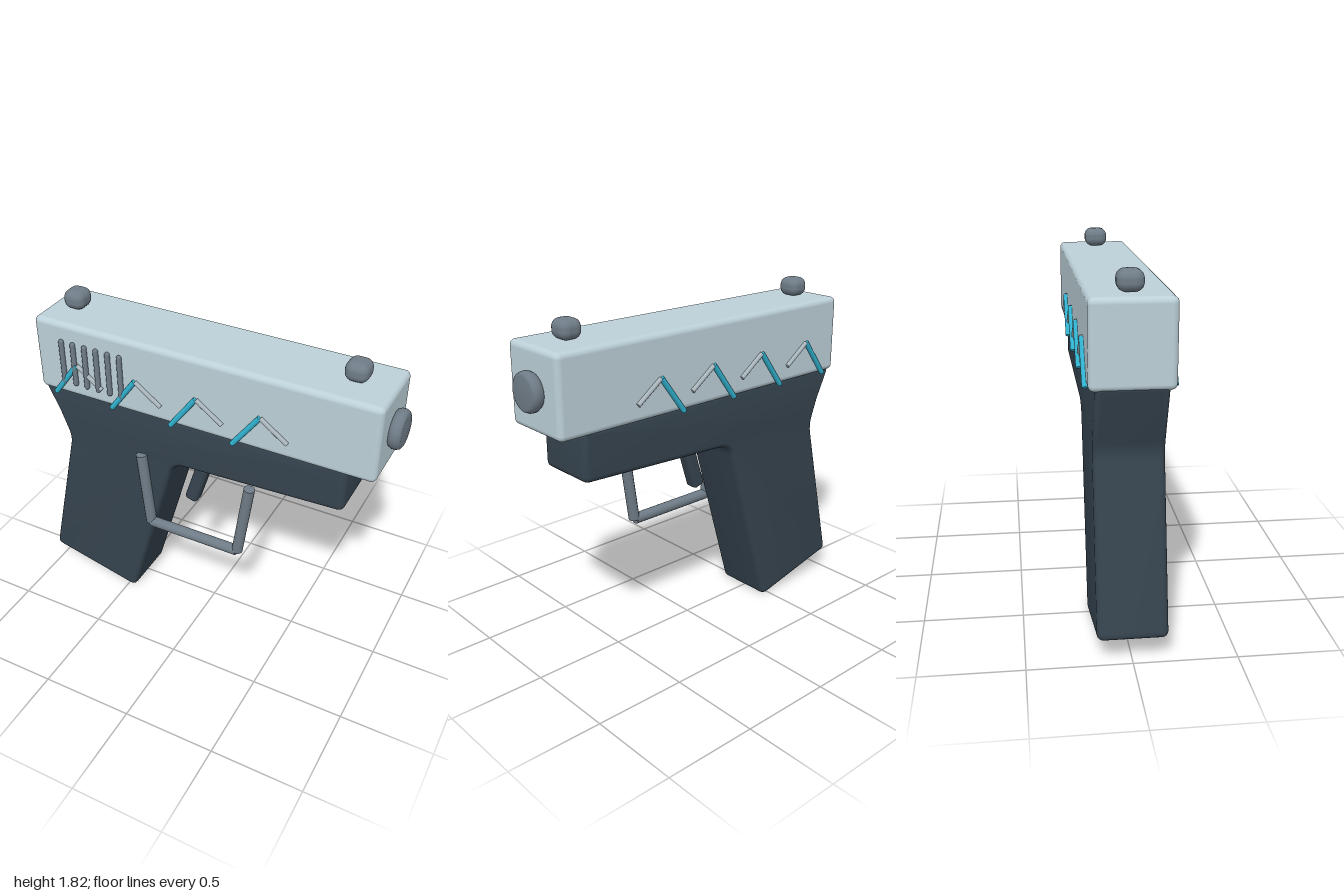
import * as THREE from 'three';
import { toCreasedNormals } from 'three/addons/utils/BufferGeometryUtils.js';
import { RoundedBoxGeometry } from 'three/addons/geometries/RoundedBoxGeometry.js';

const mat = (color) => new THREE.MeshStandardMaterial({ color });
const V = (x, y, z) => new THREE.Vector3(x, y, z);

// Closed shape with each corner [x, y, cut] softened by a curve
function roundedPolygon(points) {
  const shape = new THREE.Shape();
  const n = points.length;
  points.forEach(([x, y, cut], i) => {
    const corner = new THREE.Vector2(x, y);
    const toward = (p) => new THREE.Vector2(p[0], p[1]).sub(corner).setLength(cut).add(corner);
    const a = toward(points[(i + n - 1) % n]);
    const b = toward(points[(i + 1) % n]);
    if (i === 0) shape.moveTo(a.x, a.y);
    else shape.lineTo(a.x, a.y);
    shape.quadraticCurveTo(x, y, b.x, b.y);
  });
  shape.closePath();
  return shape;
}

export function createModel() {
  const model = new THREE.Group();
  model.name = 'pistol';
  const slideMat = mat(0xbcd0d8);
  const frameMat = mat(0x36444f);
  const metalMat = mat(0x6f7c87);
  const paleMat = mat(0xa9b6bc);
  const cyanMat = mat(0x32b4d2);

  function add(name, geometry, material, x = 0, y = 0, z = 0) {
    const mesh = new THREE.Mesh(geometry, material);
    mesh.name = name;
    mesh.position.set(x, y, z);
    model.add(mesh);
    return mesh;
  }

  // Straight round bar between two points
  function bar(name, a, b, radius, material) {
    const dir = b.clone().sub(a);
    const mesh = add(name, new THREE.CylinderGeometry(radius, radius, dir.length(), 12), material);
    mesh.position.copy(a).add(b).multiplyScalar(0.5);
    mesh.quaternion.setFromUnitVectors(V(0, 1, 0), dir.normalize());
    return mesh;
  }

  // Slide
  add('slide', new RoundedBoxGeometry(1.875, 0.415, 0.394, 4, 0.03), slideMat, -0.002, 1.508, 0);

  // Frame and grip in one bevelled profile
  const profile = roundedPolygon([
    [-0.935, 1.315, 0.015],
    [-0.813, 0.985, 0.05],
    [-1.008, 0.126, 0.035],
    [-0.457, -0.008, 0.04],
    [-0.165, 1.012, 0.07],
    [0.787, 1.053, 0.035],
    [0.787, 1.315, 0.015],
  ]);
  const bevel = 0.03;
  const frame = new THREE.ExtrudeGeometry(profile, {
    depth: 0.336 - 2 * bevel, bevelEnabled: true, bevelThickness: bevel,
    bevelSize: bevel, bevelOffset: -bevel, bevelSegments: 4, curveSegments: 5,
  });
  frame.translate(0, 0, bevel - 0.168);
  add('frameAndGrip', toCreasedNormals(frame, 0.6), frameMat);

  // Muzzle: disc with a rounded rim
  const rim = [[0, 0], [0.075, 0], [0.09, 0.008], [0.099, 0.024], [0.099, 0.044],
    [0.092, 0.06], [0.078, 0.068], [0, 0.07]].map(([r, h]) => new THREE.Vector2(r, h));
  add('muzzle', new THREE.LatheGeometry(rim, 32), metalMat, 0.928, 1.508, 0).rotation.z = -Math.PI / 2;

  // Rear and front sights
  for (const [name, x] of [['rearSight', -0.793], ['frontSight', 0.74]]) {
    add(name, new RoundedBoxGeometry(0.118, 0.1, 0.124, 4, 0.042), metalMat, x, 1.766, 0);
  }

  // Trigger
  add('trigger', new RoundedBoxGeometry(0.075, 0.255, 0.08, 4, 0.022), frameMat, -0.071, 0.86, 0.05)
    .rotation.z = -0.3;

  // Trigger guard
  const gz = 0.18;
  bar('guardRear', V(-0.345, 1.032, gz), V(-0.303, 0.592, gz), 0.03, metalMat);
  bar('guardBottom', V(-0.298, 0.588, gz), V(0.225, 0.588, gz), 0.03, metalMat);
  bar('guardFront', V(0.292, 1.03, gz), V(0.23, 0.59, gz), 0.03, metalMat);

  // Grip ribs on one side of the slide
  for (let i = 0; i < 6; i++) {
    add('slideRib', new THREE.CapsuleGeometry(0.014, 0.228, 4, 10), metalMat, -0.774 + i * 0.069, 1.499, 0.204);
  }

  // Chevron trim along both sides
  for (const z of [0.203, -0.203]) {
    for (let i = 0; i < 4; i++) {
      const x = -0.837 + i * 0.346;
      bar('chevronStroke', V(x, 1.3, z), V(x + 0.145, 1.497, z), 0.014, cyanMat);
      bar('chevronTail', V(x + 0.147, 1.495, z), V(x + 0.29, 1.39, z), 0.012, paleMat);
    }
  }

  return model;
}
